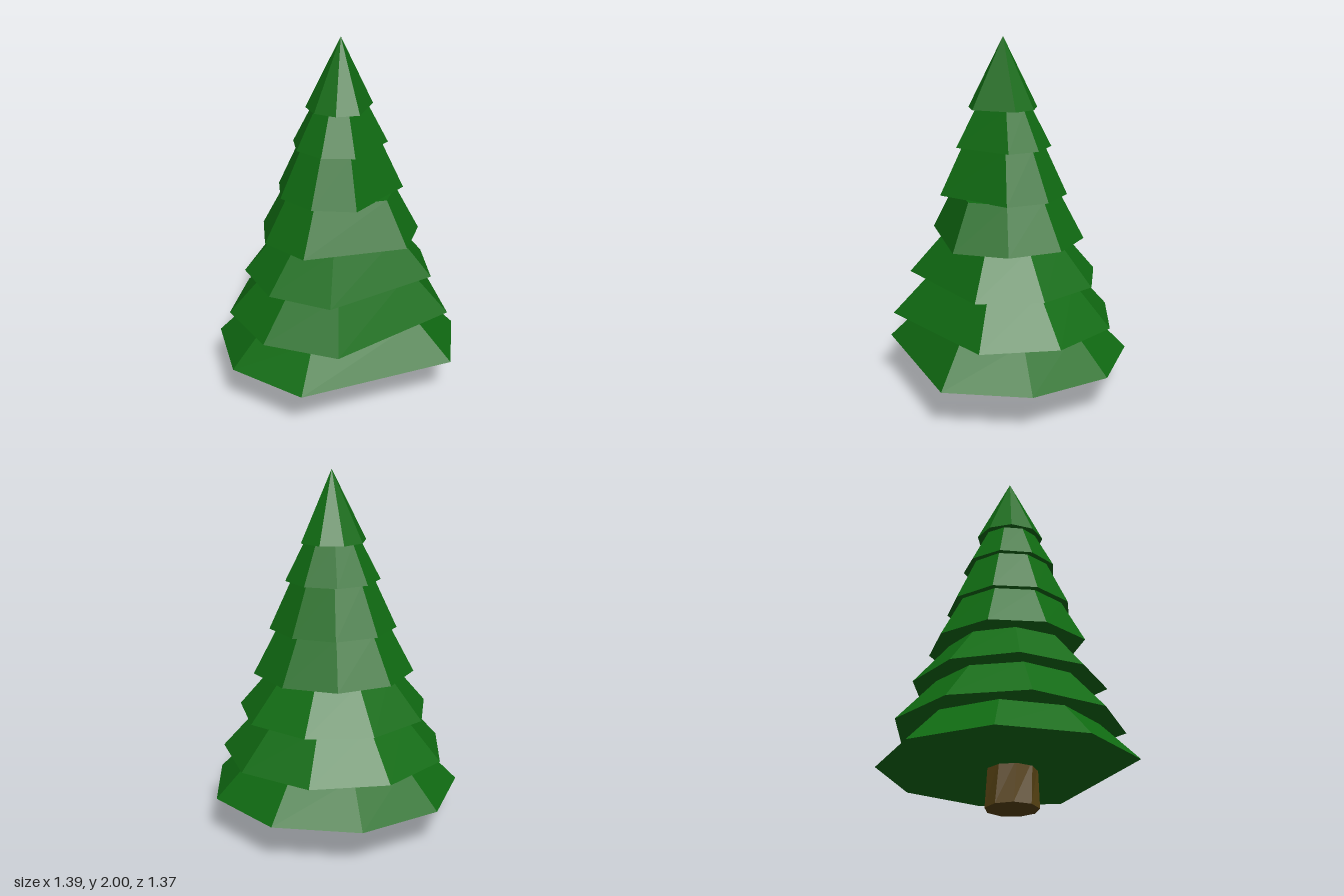
import * as THREE from 'three';

const SIDES = 9;
const STEP = (Math.PI * 2) / SIDES;

// Closed faceted frustum; `count` corners of a nine-sided ring are used, so 8 leaves one long flat side
function frustum({ y0, y1, r0, r1, start, cx, cz, topX = cx, topZ = cz, count = SIDES - 1, twist = 0 }) {
  const pos = [];
  const corner = (i, r, y, x, z, turn) => {
    const a = THREE.MathUtils.degToRad(start + turn) + (i % count) * STEP;
    return [x + r * Math.cos(a), y, z - r * Math.sin(a)];
  };
  const low = [cx, y0, cz];
  const high = [topX, y1, topZ];
  for (let i = 0; i < count; i++) {
    const b0 = corner(i, r0, y0, cx, cz, 0);
    const b1 = corner(i + 1, r0, y0, cx, cz, 0);
    pos.push(...low, ...b1, ...b0);
    if (r1 === 0) {
      pos.push(...b0, ...b1, ...high);
    } else {
      const t0 = corner(i, r1, y1, topX, topZ, twist);
      const t1 = corner(i + 1, r1, y1, topX, topZ, twist);
      pos.push(...b0, ...b1, ...t1, ...b0, ...t1, ...t0, ...high, ...t0, ...t1);
    }
  }
  const geometry = new THREE.BufferGeometry();
  geometry.setAttribute('position', new THREE.Float32BufferAttribute(pos, 3));
  geometry.computeVertexNormals();
  return geometry;
}

export function createModel() {
  const tree = new THREE.Group();
  tree.name = 'pineTree';
  const green = new THREE.MeshStandardMaterial({ color: 0x106b12, flatShading: true });
  const brown = new THREE.MeshStandardMaterial({ color: 0x5a4414, flatShading: true });

  // Trunk, slightly tapered and twisted
  const trunk = new THREE.Mesh(
    frustum({ y0: 0, y1: 0.24, r0: 0.147, r1: 0.137, start: 0, cx: 0.007, cz: -0.004, count: SIDES, twist: 8 }),
    brown
  );
  trunk.name = 'trunk';
  tree.add(trunk);

  // Foliage tiers from bottom to top: base height, base radius, top radius, angle of first corner, centre x
  const tiers = [
    [0.21, 0.705, 0.495, -8.7, -0.005],
    [0.42, 0.632, 0.415, 7.3, -0.003],
    [0.66, 0.536, 0.34, 2.7, -0.002],
    [0.89, 0.45, 0.315, -17.6, 0.001],
    [1.14, 0.355, 0.23, 22, 0.004],
    [1.405, 0.265, 0.155, 25, 0.006],
    [1.615, 0.191, 0, 39.5, 0.009],
  ];
  const foliage = new THREE.Group();
  foliage.name = 'foliage';
  tiers.forEach(([y0, r0, r1, start, cx], i) => {
    const y1 = i + 1 < tiers.length ? tiers[i + 1][0] + 0.002 : 2;
    const tier = new THREE.Mesh(frustum({ y0, y1, r0, r1, start, cx, cz: -0.018 }), green);
    tier.name = `foliageTier${i + 1}`;
    foliage.add(tier);
  });
  tree.add(foliage);
  return tree;
}
